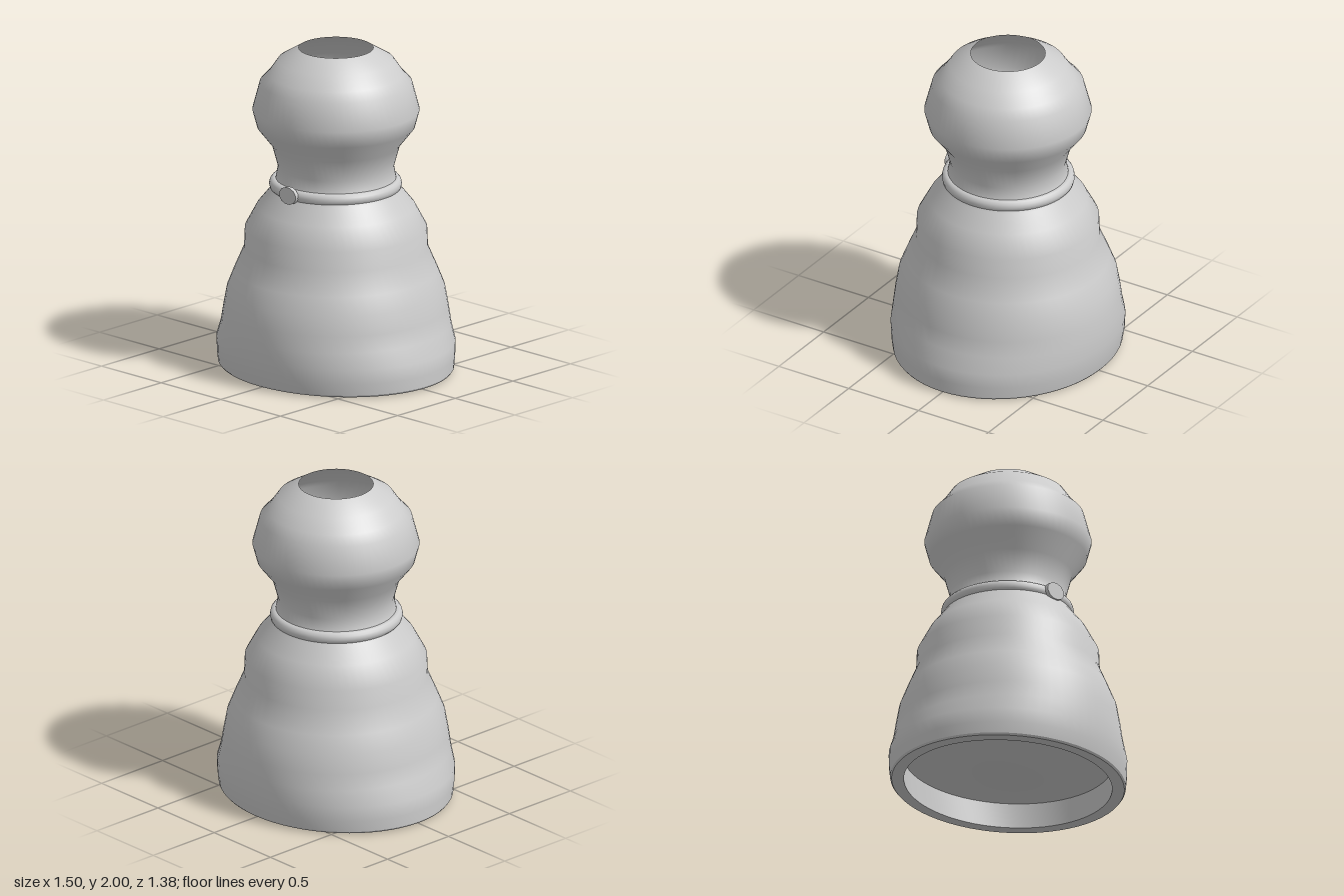
import * as THREE from 'three';
import { mergeVertices, toCreasedNormals } from 'three/addons/utils/BufferGeometryUtils.js';

const material = new THREE.MeshStandardMaterial({ color: 0xcccccc, side: THREE.DoubleSide });
const SEGMENTS = 64;

// Elliptical lathe: each row is [y, half width in x, half depth in z]
function ellipticalLathe(rows) {
  const geometry = new THREE.LatheGeometry(rows.map(([y, rx]) => new THREE.Vector2(rx, y)), SEGMENTS);
  const pos = geometry.attributes.position;
  for (let i = 0; i < pos.count; i++) {
    const [, rx, rz = rx] = rows[i % rows.length];
    if (rx > 0) pos.setZ(i, pos.getZ(i) * rz / rx);
  }
  // Weld the seam so the normals run smoothly around
  geometry.deleteAttribute('uv');
  geometry.deleteAttribute('normal');
  const welded = mergeVertices(geometry, 1e-4);
  welded.computeVertexNormals();
  return welded;
}

function addMesh(group, name, geometry) {
  const mesh = new THREE.Mesh(geometry, material);
  mesh.name = name;
  group.add(mesh);
  return mesh;
}

export function createModel() {
  const model = new THREE.Group();
  model.name = 'hollowBust';

  // Open-topped shell: oval skirt, round waist, neck and head
  addMesh(model, 'bodyShell', ellipticalLathe([
    [0.02, 0.75, 0.67], [0.09, 0.75, 0.685], [0.18, 0.747, 0.692],
    [0.28, 0.70, 0.69], [0.38, 0.68, 0.68], [0.5, 0.657, 0.66],
    [0.61, 0.615], [0.75, 0.555], [0.875, 0.55],
    [1.01, 0.478], [1.11, 0.397], [1.18, 0.365], [1.26, 0.35],
    [1.395, 0.387], [1.51, 0.477], [1.615, 0.505], [1.785, 0.46],
    [1.84, 0.408], [1.925, 0.35], [2.0, 0.225],
  ]));

  // Foot rim and recess, closed by a shallow cone whose tip points down
  addMesh(model, 'baseRecess', toCreasedNormals(ellipticalLathe([
    [0, 0, 0], [0.17, 0.665, 0.6], [0.008, 0.665, 0.59], [0.008, 0.742, 0.66], [0.02, 0.75, 0.67],
  ]), 0.6));

  // Collar ring around the neck, slightly taller than it is thick
  const collarGeometry = new THREE.TorusGeometry(0.367, 0.034, 12, SEGMENTS);
  collarGeometry.rotateX(Math.PI / 2).scale(1, 1.15, 1);
  addMesh(model, 'collar', collarGeometry).position.set(-0.004, 1.148, 0);

  // Flat oval tag on the front of the collar
  const tagGeometry = toCreasedNormals(new THREE.CylinderGeometry(1, 1, 0.026, 12, 1, false, Math.PI / 12), 0.6);
  tagGeometry.rotateX(Math.PI / 2).scale(0.07, 0.054, 1);
  addMesh(model, 'collarTag', tagGeometry).position.set(-0.007, 1.153, 0.402);

  return model;
}
